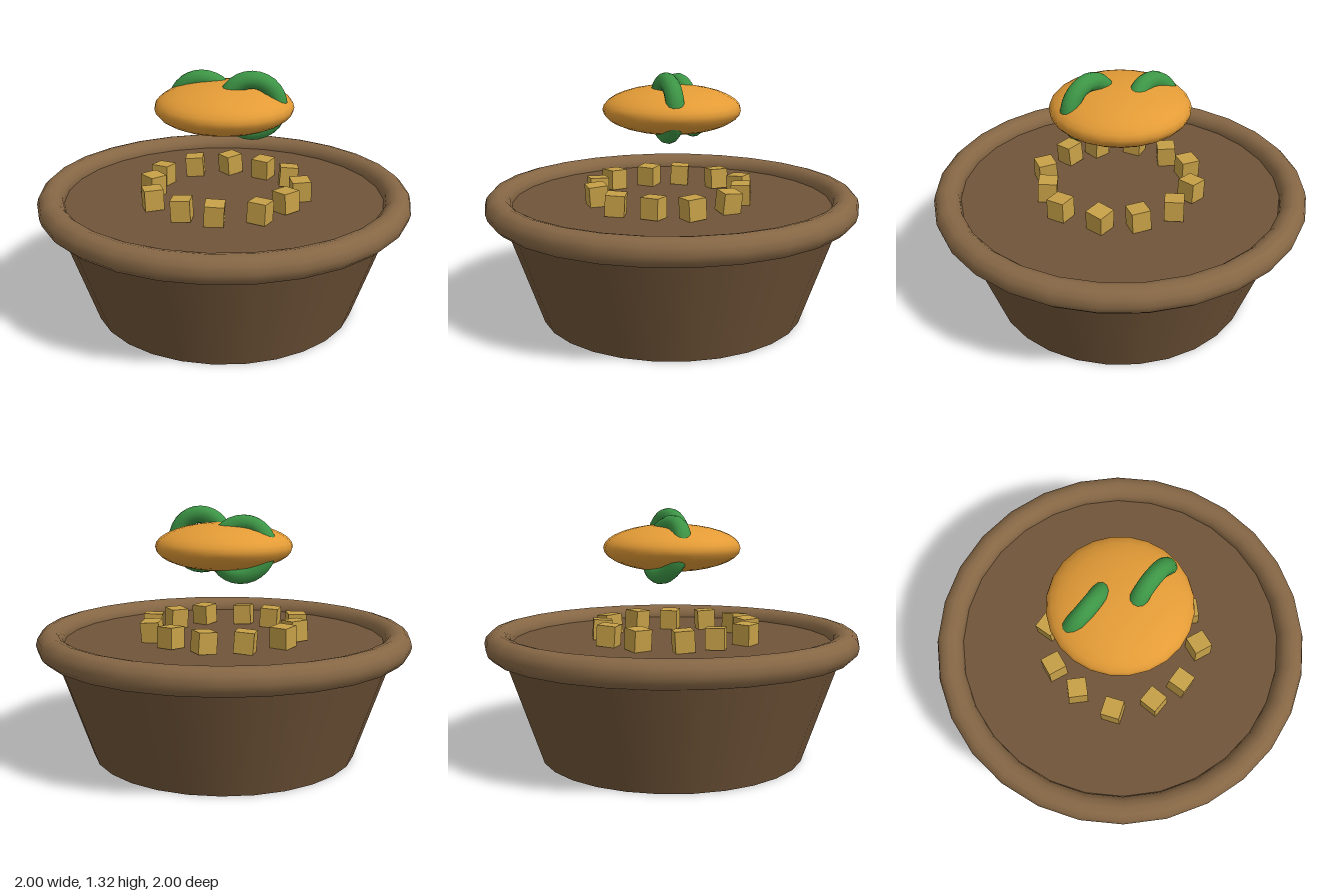
import * as THREE from 'three';

const paint = (color) => new THREE.MeshStandardMaterial({ color });

function addPart(parent, name, geometry, material, x, y, z) {
  const mesh = new THREE.Mesh(geometry, material);
  mesh.name = name;
  mesh.position.set(x, y, z);
  parent.add(mesh);
  return mesh;
}

export function createModel() {
  const model = new THREE.Group();
  model.name = 'bowlWithFloatingGarnish';

  // Tapered bowl, its closed top being the surface of the filling
  addPart(model, 'bowl', new THREE.CylinderGeometry(0.925, 0.715, 0.62, 28), paint(0x705438), 0, 0.31, 0);

  // Rounded rim
  const rim = new THREE.TorusGeometry(0.929, 0.071, 12, 28).rotateX(Math.PI / 2);
  addPart(model, 'rim', rim, paint(0x866745), 0, 0.62, 0);

  // Ring of loosely scattered cubes: x, z, turn
  const cubes = [
    [0.005, -0.39, 0.7], [0.2, -0.32, -0.45], [0.345, -0.19, 0.08], [0.41, 0.03, 0.21],
    [0.335, 0.21, -0.8], [0.21, 0.37, -0.4], [-0.015, 0.415, 0.02], [-0.185, 0.365, -0.04],
    [-0.355, 0.225, 0.35], [-0.385, 0.01, 0.8], [-0.355, -0.17, -0.4], [-0.195, -0.335, 0.03],
  ];
  const cubeGeometry = new THREE.BoxGeometry(0.1, 0.11, 0.1);
  const cubeMaterial = paint(0xc6a047);
  const ring = new THREE.Group();
  ring.name = 'cubeRing';
  cubes.forEach(([x, z, turn], i) => {
    const cube = addPart(ring, 'cube', cubeGeometry, cubeMaterial, x, 0.677, z);
    cube.rotation.set(0.07 * Math.sin(i * 2.3), turn, 0.07 * Math.cos(i * 1.7));
  });
  model.add(ring);

  // Flattened floating dumpling
  const dumpling = new THREE.SphereGeometry(0.367, 24, 16).scale(1, 0.345, 1);
  addPart(model, 'dumpling', dumpling, paint(0xe39b36), 0, 1.116, 0);

  // Two green rings threaded through the dumpling
  const greenRing = new THREE.TorusGeometry(0.135, 0.047, 12, 28);
  const green = paint(0x3d9646);
  addPart(model, 'greenRingLeft', greenRing, green, 0.15, 1.142, 0.078);
  const leaning = addPart(model, 'greenRingRight', greenRing, green, -0.125, 1.115, -0.12);
  leaning.rotation.x = 0.3;

  return model;
}
